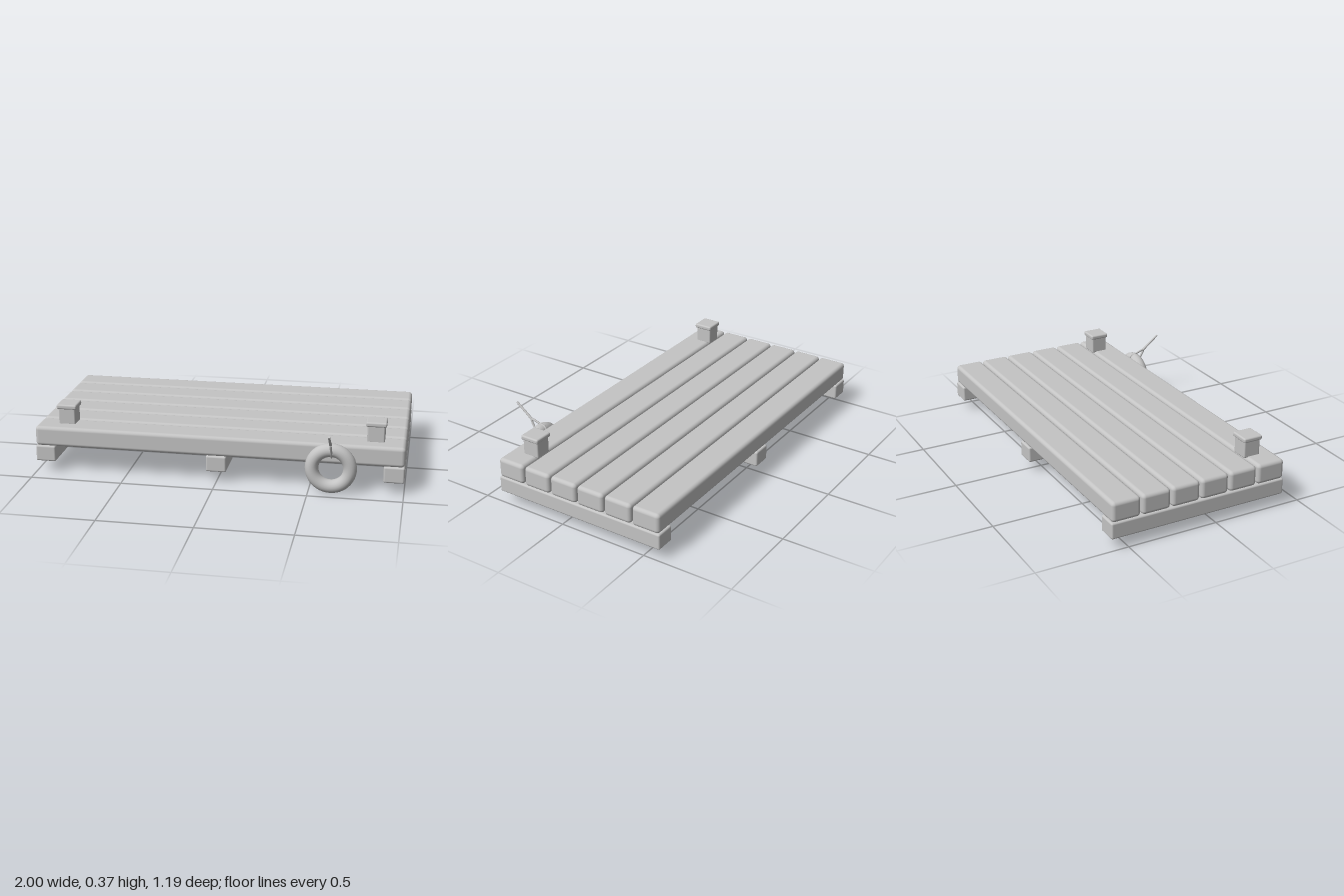
import * as THREE from 'three';
import { RoundedBoxGeometry } from 'three/addons/geometries/RoundedBoxGeometry.js';

const grey = new THREE.MeshStandardMaterial({ color: 0xc4c4c4 });
grey.name = 'plainGrey';

export function createModel() {
  const group = new THREE.Group();
  group.name = 'dock';

  const add = (name, geometry, x = 0, y = 0, z = 0) => {
    const mesh = new THREE.Mesh(geometry, grey);
    mesh.name = name;
    mesh.position.set(x, y, z);
    group.add(mesh);
    return mesh;
  };
  const block = (name, w, h, d, r, x, y, z) =>
    add(name, new RoundedBoxGeometry(w, h, d, 3, r), x, y, z);

  // Six deck planks, front to back
  for (let i = 0; i < 6; i++) {
    block('plank' + (i + 1), 2, 0.11, 0.159, 0.02, 0, 0.207, 0.325 - i * 0.167);
  }

  // Three cross beams under the deck
  [['rightBeam', -0.945], ['middleBeam', 0], ['leftBeam', 0.945]].forEach(([name, x]) =>
    block(name, 0.11, 0.089, 0.998, 0.01, x, 0.109, -0.094));

  // Two capped mooring posts
  [['right', -0.84], ['left', 0.84]].forEach(([side, x]) => {
    block(side + 'Post', 0.093, 0.1, 0.095, 0.008, x, 0.305, 0.281);
    block(side + 'PostCap', 0.111, 0.026, 0.109, 0.009, x, 0.357, 0.281);
  });

  // Ring fender hanging on the front edge
  add('ringFender', new THREE.TorusGeometry(0.101, 0.036, 20, 48), 0.617, 0.14, 0.432);

  // Rope: a loop around the ring's top, then a straight free end
  const path = (pts) => new THREE.CatmullRomCurve3(
    pts.map(([x, y, z]) => new THREE.Vector3(x, y, z)), pts.length > 2, 'centripetal');
  const loop = path([
    [0, 0.29, 0.493], [-0.003, 0.278, 0.445], [-0.003, 0.262, 0.402],
    [0, 0.215, 0.402], [0.003, 0.204, 0.44], [0.003, 0.24, 0.469],
  ]);
  add('ropeLoop', new THREE.TubeGeometry(loop, 48, 0.006, 8, true), 0.617);

  const start = new THREE.Vector3(0, 0.287, 0.488);
  const end = new THREE.Vector3(0, 0.368, 0.59);
  const dir = end.clone().sub(start);
  const mid = start.clone().add(end).multiplyScalar(0.5);
  const rope = add('ropeEnd', new THREE.CylinderGeometry(0.006, 0.007, dir.length(), 10),
    0.617, mid.y, mid.z);
  rope.quaternion.setFromUnitVectors(new THREE.Vector3(0, 1, 0), dir.normalize());

  return group;
}
